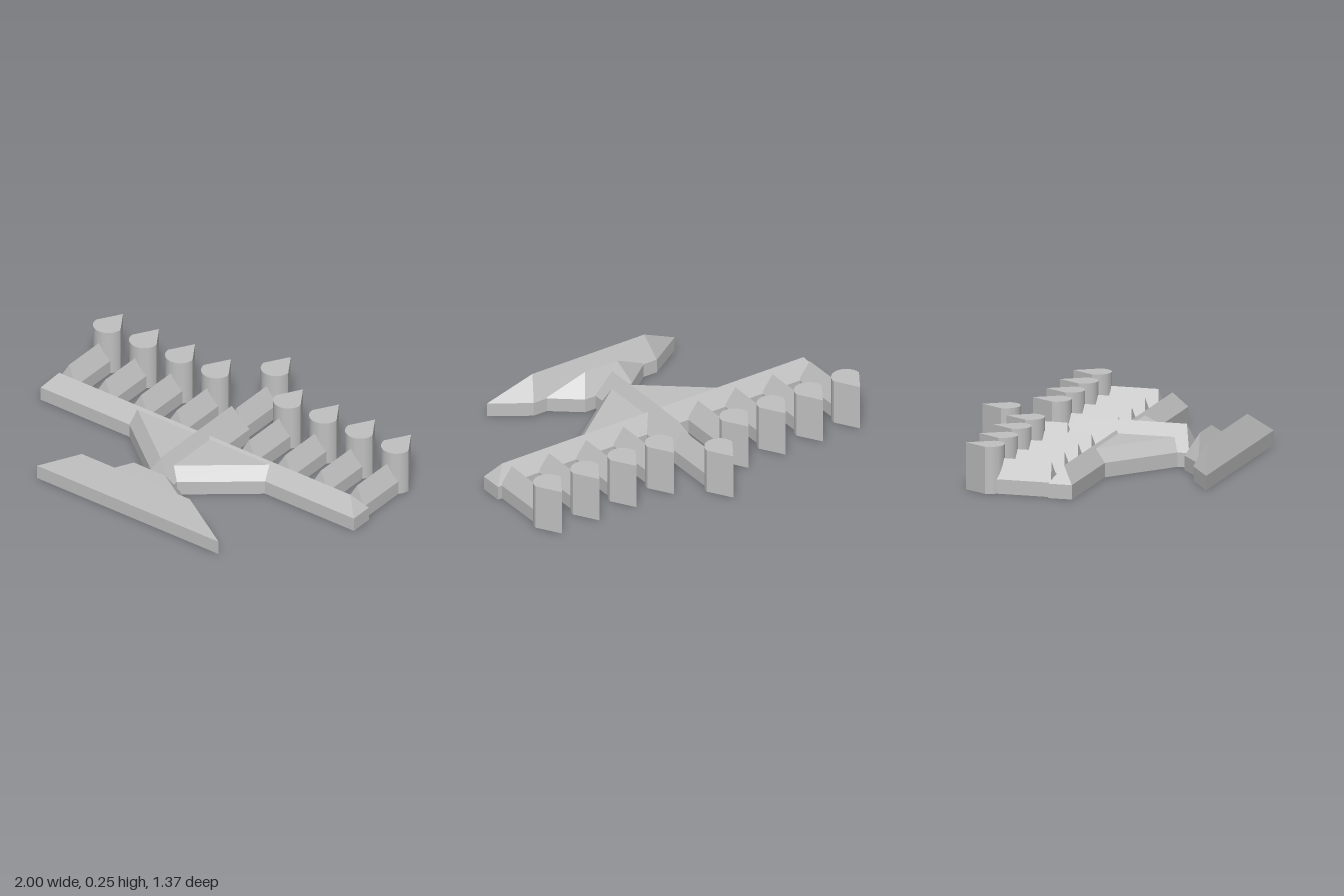
import * as THREE from 'three';
import { toCreasedNormals } from 'three/addons/utils/BufferGeometryUtils.js';

const WALL = 0.075; // height of the upright walls under every bevel

// Solid skinned through rings of [x, z] points at given heights (counter-clockwise from above)
function loft(rings) {
  const pos = [];
  const tri = (a, b, c) => {
    const area = new THREE.Triangle(a, b, c).getArea();
    if (area > 1e-7) for (const p of [a, b, c]) pos.push(p.x, p.y, p.z);
  };
  const pts = rings.map(([y, ring]) => ring.map(([x, z]) => new THREE.Vector3(x, y, z)));
  const n = pts[0].length, top = pts[pts.length - 1];
  for (let r = 0; r < pts.length - 1; r++) {
    for (let i = 0; i < n; i++) {
      const j = (i + 1) % n;
      tri(pts[r][i], pts[r][j], pts[r + 1][j]);
      tri(pts[r][i], pts[r + 1][j], pts[r + 1][i]);
    }
  }
  for (let i = 1; i < n - 1; i++) {
    tri(pts[0][0], pts[0][i + 1], pts[0][i]);
    tri(top[0], top[i], top[i + 1]);
  }
  const g = new THREE.BufferGeometry();
  g.setAttribute('position', new THREE.Float32BufferAttribute(pos, 3));
  g.computeVertexNormals();
  return g;
}

// Hipped bar with its ridge along x; half widths may differ front and back
function barX(zFront, xFront, zBack, xBack, zRidge, xRidge, height) {
  const foot = [[-xFront, zFront], [xFront, zFront], [xBack, zBack], [-xBack, zBack]];
  const ridge = [[-xRidge, zRidge], [xRidge, zRidge], [xRidge, zRidge], [-xRidge, zRidge]];
  return loft([[0, foot], [WALL, foot], [height, ridge]]);
}

// Hipped bar with its ridge along z
function barZ(halfWidth, zFront, zBack, ridgeFront, ridgeBack, height) {
  const w = halfWidth;
  const foot = [[-w, zFront], [w, zFront], [w, zBack], [-w, zBack]];
  const ridge = [[0, ridgeFront], [0, ridgeFront], [0, ridgeBack], [0, ridgeBack]];
  return loft([[0, foot], [WALL, foot], [height, ridge]]);
}

// Teardrop prism: half circle closed by a point towards -z
function flameGeometry() {
  const r = 0.078;
  const s = new THREE.Shape();
  s.moveTo(0, 0.124);
  s.lineTo(-r, 0);
  s.absarc(0, 0, r, Math.PI, Math.PI * 2, false);
  s.lineTo(0, 0.124);
  const g = new THREE.ExtrudeGeometry(s, { depth: 0.245, bevelEnabled: false, curveSegments: 20 });
  g.rotateX(-Math.PI / 2);
  return toCreasedNormals(g, 0.5);
}

export function createModel() {
  const group = new THREE.Group();
  const grey = new THREE.MeshStandardMaterial({ color: 0xc0c0c0 });
  grey.name = 'grey';

  const add = (name, geometry, x = 0, z = 0) => {
    const mesh = new THREE.Mesh(geometry, grey);
    mesh.name = name;
    mesh.position.set(x, 0, z);
    group.add(mesh);
  };

  // Two-stepped foot
  add('lowerBaseStep', barX(0.686, 0.58, 0.555, 0.38, 0.618, 0.345, 0.205));
  add('upperBaseStep', barX(0.56, 0.305, 0.435, 0.145, 0.503, 0.1, 0.19));

  // Shaft and cross arm
  add('shaft', barZ(0.08, 0.44, -0.235, 0.403, -0.19, 0.21));
  add('crossArm', barX(0.1, 1, -0.027, 1, 0.037, 0.93, 0.16));

  // Triangular brace with bevelled diagonals, both sides in one piece
  const foot = [[0, 0.44], [0.51, 0.04], [-0.51, 0.04]];
  const flat = [[0, 0.379], [0.432, 0.04], [-0.432, 0.04]];
  add('brace', loft([[0, foot], [WALL, foot], [0.145, flat]]));

  // Candles with flames
  const candle = barZ(0.055, -0.018, -0.34, -0.034, -0.33, 0.175);
  const flame = flameGeometry();
  for (let i = -4; i <= 4; i++) {
    const x = i * 0.23, z = i === 0 ? -0.2 : 0;
    add('candle', candle, x, z);
    add('flame', flame, x, z - 0.364);
  }
  return group;
}
